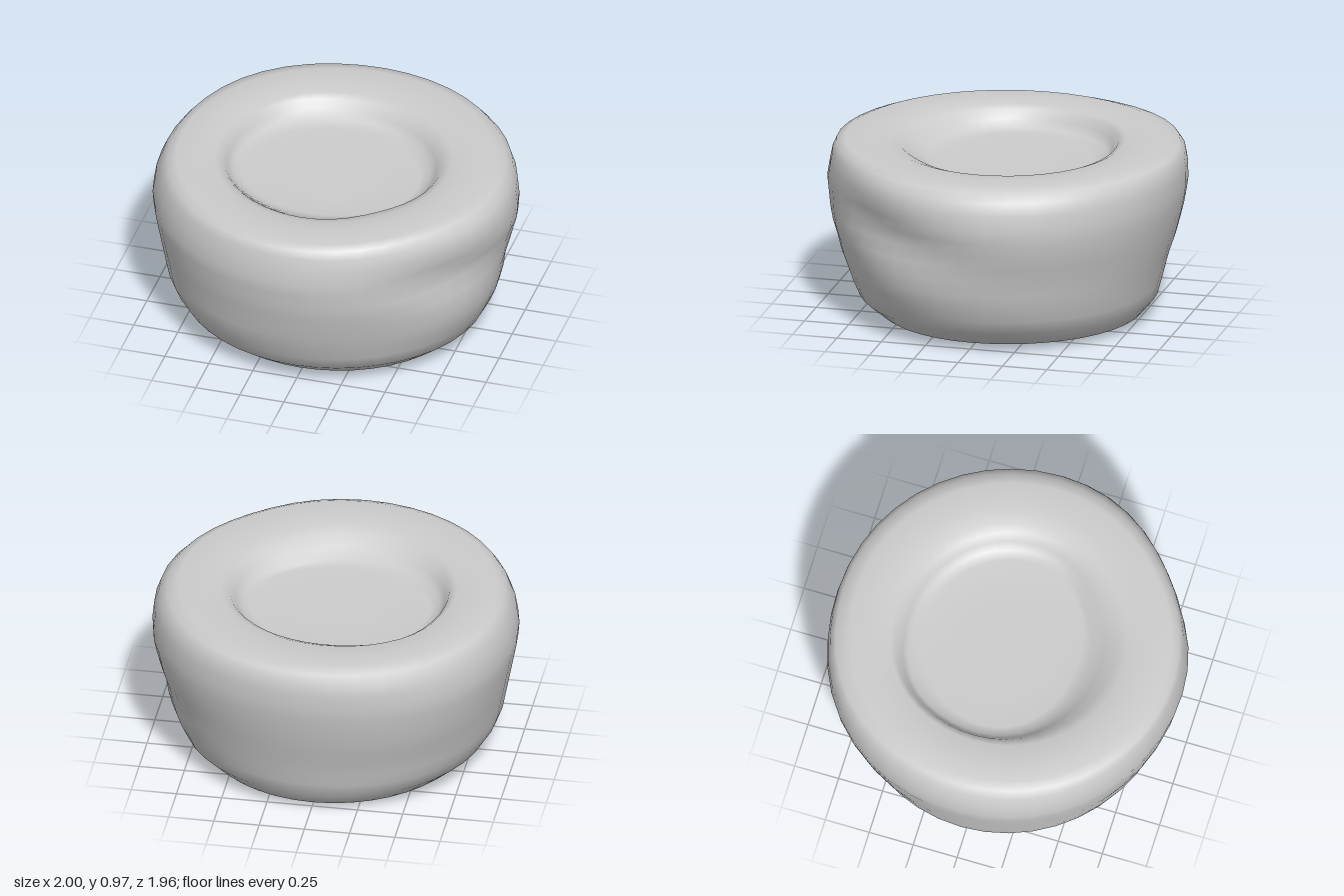
import * as THREE from 'three';

const SEGMENTS = 44;

// Each ring: height, then radius towards +x, -z, -x, +z
const outerRings = [
  [0.005, 0.01, 0.01, 0.01, 0.01],
  [0.005, 0.4, 0.4, 0.4, 0.4],
  [0.008, 0.63, 0.63, 0.65, 0.64],
  [0.035, 0.73, 0.76, 0.74, 0.69],
  [0.12, 0.83, 0.83, 0.84, 0.80],
  [0.2, 0.87, 0.85, 0.89, 0.84],
  [0.28, 0.90, 0.87, 0.92, 0.87],
  [0.36, 0.92, 0.89, 0.935, 0.90],
  [0.44, 0.935, 0.915, 0.95, 0.92],
  [0.52, 0.965, 0.935, 0.965, 0.945],
  [0.6, 0.985, 0.955, 0.98, 0.96],
  [0.68, 1.0, 0.97, 0.995, 0.97],
  [0.75, 1.0, 0.98, 1.0, 0.98],
  [0.84, 0.99, 0.98, 0.985, 0.965],
  [0.91, 0.965, 0.97, 0.955, 0.95],
  [0.955, 0.92, 0.94, 0.92, 0.93],
  [0.975, 0.86, 0.87, 0.87, 0.88],
];
const recessRings = [
  [0.973, 0.74, 0.74, 0.74, 0.75],
  [0.965, 0.65, 0.63, 0.64, 0.66],
  [0.945, 0.60, 0.585, 0.60, 0.60],
  [0.9, 0.565, 0.55, 0.58, 0.53],
  [0.86, 0.53, 0.52, 0.55, 0.46],
  [0.845, 0.48, 0.46, 0.50, 0.40],
  [0.845, 0.25, 0.25, 0.25, 0.25],
  [0.845, 0.01, 0.01, 0.01, 0.01],
];

const bump = (d, width) => Math.exp(-((d / width) ** 2));
const angleGap = (a, b) => Math.atan2(Math.sin(a - b), Math.cos(a - b));

// Blends the four directional radii smoothly around the ring
function blendRadius(ring, a) {
  const c = Math.cos(a), s = Math.sin(a);
  return (c > 0 ? ring[1] : ring[3]) * c * c + (s > 0 ? ring[2] : ring[4]) * s * s;
}

// Hand-moulded dents and bulges of the outer wall
function wallOffset(a, y) {
  const fade = THREE.MathUtils.smoothstep(y, 0.03, 0.3);
  const fromRight = angleGap(a, -0.5);
  const grooveY = 0.65 - 0.15 * fromRight;
  let d = -0.065 * bump(fromRight, 0.5) * bump(y - grooveY, 0.12);
  d += 0.025 * bump(fromRight, 0.45) * bump(y - 0.36, 0.16);
  d -= 0.025 * bump(angleGap(a, -0.85), 0.4) * fade;
  d += 0.03 * bump(angleGap(a, 2.3), 0.5) * fade;
  d -= 0.02 * bump(angleGap(a, 2.3), 0.5) * bump(y - 0.3, 0.12);
  d += 0.012 * bump(angleGap(a, -2.1), 0.5) * bump(y - 0.3, 0.1);
  return d;
}

// Closed surface of revolution whose radius follows a rule
function ringSurface(rings, offset) {
  const positions = [], indices = [];
  for (const ring of rings) {
    for (let i = 0; i < SEGMENTS; i++) {
      const a = (i / SEGMENTS) * Math.PI * 2;
      const r = blendRadius(ring, a) + (ring[1] > 0.5 ? offset(a, ring[0]) : 0);
      positions.push(r * Math.cos(a), ring[0], -r * Math.sin(a));
    }
  }
  for (let j = 0; j < rings.length - 1; j++) {
    for (let i = 0; i < SEGMENTS; i++) {
      const k = (i + 1) % SEGMENTS;
      const a = j * SEGMENTS + i, b = j * SEGMENTS + k;
      const c = a + SEGMENTS, d = b + SEGMENTS;
      indices.push(a, b, d, a, d, c);
    }
  }
  // End caps
  const last = (rings.length - 1) * SEGMENTS;
  for (let i = 1; i < SEGMENTS - 1; i++) {
    indices.push(0, i + 1, i, last, last + i, last + i + 1);
  }
  const geometry = new THREE.BufferGeometry();
  geometry.setAttribute('position', new THREE.Float32BufferAttribute(positions, 3));
  geometry.setIndex(indices);
  geometry.computeVertexNormals();
  return geometry;
}

export function createModel() {
  const group = new THREE.Group();
  group.name = 'clayBowl';
  const material = new THREE.MeshStandardMaterial({ color: 0xcccccc });

  // Wall, rim and shallow hollow are one continuous skin
  const rings = [...outerRings, ...recessRings];
  const bowl = new THREE.Mesh(
    ringSurface(rings, (a, y) => wallOffset(a, y) * (y > 0.96 ? 0.5 : 1)),
    material
  );
  bowl.name = 'bowlBody';

  // The hollow sits slightly towards the back left
  const p = bowl.geometry.attributes.position;
  for (let i = outerRings.length * SEGMENTS; i < p.count; i++) {
    p.setX(i, p.getX(i) - 0.02);
    p.setZ(i, p.getZ(i) - 0.01);
  }
  bowl.geometry.computeVertexNormals();
  group.add(bowl);
  return group;
}
